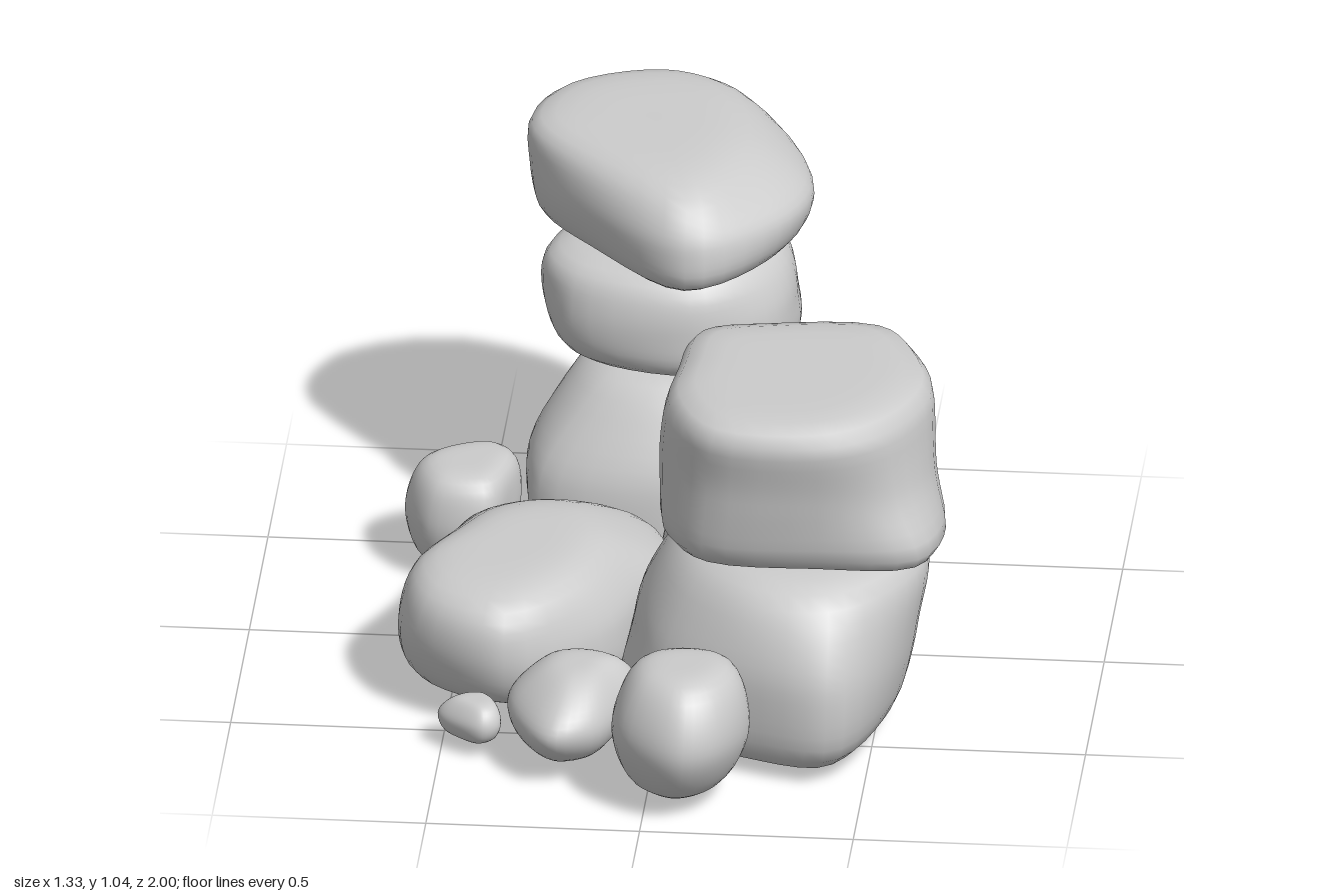
import * as THREE from 'three';

const AROUND = 40, RINGS = 28;
const material = new THREE.MeshStandardMaterial({ color: 0xcccccc });

// Closed smooth outline through [x, z] points, sampled at equal curve parameter
function outline(points) {
  const curve = new THREE.CatmullRomCurve3(
    points.map(([x, z]) => new THREE.Vector3(x, 0, z)), true, 'centripetal');
  return Array.from({ length: AROUND }, (_, i) => curve.getPoint(i / AROUND));
}

function centre(points) {
  return points.reduce((s, p) => s.add(p), new THREE.Vector3()).divideScalar(points.length);
}

// Copy of an outline scaled about its middle and shifted
function resize(points, scale, dx = 0, dz = 0) {
  const mx = points.reduce((s, p) => s + p[0], 0) / points.length;
  const mz = points.reduce((s, p) => s + p[1], 0) / points.length;
  return points.map(([x, z]) => [mx + (x - mx) * scale + dx, mz + (z - mz) * scale + dz]);
}

// Worn stone: a column of outlines from bottom to top, rounded at both ends.
// power: 2 = ellipsoid, larger = boxier. tilt: slope of the top along x and z.
function stone(name, y0, y1, power, sections, tilt = [0, 0]) {
  const rows = sections.map(outline);
  const columns = rows[0].map((_, i) =>
    new THREE.CatmullRomCurve3(rows.map(row => row[i]), false, 'catmullrom', 0.3));
  const positions = [], index = [];
  for (let j = 0; j <= RINGS; j++) {
    const t = (j / RINGS - 0.5) * Math.PI;
    const cos = j % RINGS ? Math.cos(t) : 0, sin = Math.sin(t);
    const reach = Math.pow(Math.pow(cos, power) + Math.pow(Math.abs(sin), power), -1 / power);
    const k = (sin * reach + 1) / 2;
    const ring = columns.map(column => column.getPoint(k));
    const c = centre(ring);
    ring.forEach((p, i) => {
      // gentle worn hollows on the sides
      const a = i / AROUND * Math.PI * 2;
      const bump = 1 + 0.01 * Math.sin(4 * a + 6 * k + y1 * 20) * cos;
      p.sub(c).multiplyScalar(cos * reach * bump);
      const y = y0 + (y1 - y0) * k + k * (tilt[0] * p.x + tilt[1] * p.z);
      positions.push(c.x + p.x, y, c.z + p.z);
    });
  }
  for (let j = 0; j < RINGS; j++) {
    for (let i = 0; i < AROUND; i++) {
      const n = (i + 1) % AROUND, r = j * AROUND, s = r + AROUND;
      if (j < RINGS - 1) index.push(r + i, s + i, s + n);
      if (j > 0) index.push(r + i, s + n, r + n);
    }
  }
  const geometry = new THREE.BufferGeometry();
  geometry.setAttribute('position', new THREE.Float32BufferAttribute(positions, 3));
  geometry.setIndex(index);
  geometry.computeVertexNormals();
  // each pole is a fan of coincident points: share one vertical normal
  const normals = geometry.attributes.normal;
  for (let i = 0; i < AROUND; i++) {
    normals.setXYZ(i, 0, -1, 0);
    normals.setXYZ(RINGS * AROUND + i, 0, 1, 0);
  }
  const mesh = new THREE.Mesh(geometry, material);
  mesh.name = name;
  return mesh;
}

export function createModel() {
  const group = new THREE.Group();
  group.name = 'stackedRocks';

  // Rear stack of three
  group.add(
    stone('rearStackBase', 0, 0.5, 7, [
      [[-0.36, -0.54], [-0.31, -0.78], [-0.10, -0.88], [0.10, -0.86], [0.38, -0.62], [0.28, -0.41], [0.0, -0.27], [-0.32, -0.32]],
      [[-0.39, -0.53], [-0.27, -0.75], [-0.08, -0.85], [0.10, -0.83], [0.26, -0.62], [0.20, -0.43], [-0.02, -0.28], [-0.35, -0.34]],
      [[-0.27, -0.57], [-0.23, -0.74], [-0.08, -0.85], [0.11, -0.83], [0.24, -0.62], [0.16, -0.47], [-0.01, -0.37], [-0.21, -0.42]]]),
    stone('rearStackMiddle', 0.5, 0.775, 5, [
      [[-0.33, -0.56], [-0.27, -0.77], [-0.08, -0.86], [0.17, -0.85], [0.25, -0.62], [0.17, -0.44], [0.0, -0.34], [-0.25, -0.41]],
      [[-0.365, -0.57], [-0.29, -0.78], [-0.08, -0.87], [0.16, -0.85], [0.23, -0.62], [0.17, -0.45], [0.0, -0.345], [-0.28, -0.41]],
      [[-0.36, -0.57], [-0.28, -0.78], [-0.08, -0.87], [0.14, -0.83], [0.20, -0.62], [0.14, -0.47], [0.0, -0.37], [-0.28, -0.43]]]),
    stone('rearStackTop', 0.77, 1.04, 5.5, [
      [[-0.38, -0.67], [-0.31, -0.84], [-0.10, -0.94], [0.11, -0.88], [0.23, -0.62], [0.18, -0.41], [0.0, -0.23], [-0.24, -0.45]],
      [[-0.405, -0.67], [-0.33, -0.89], [-0.11, -1.0], [0.13, -0.93], [0.27, -0.62], [0.20, -0.41], [0.0, -0.23], [-0.28, -0.46]],
      [[-0.41, -0.67], [-0.35, -0.89], [-0.11, -1.0], [0.05, -0.93], [0.13, -0.66], [0.11, -0.48], [0.0, -0.31], [-0.30, -0.50]]],
    [-0.03, 0]));

  // Front stack of two
  group.add(
    stone('frontStackBase', 0.01, 0.47, 6, [
      [[-0.13, 0.30], [-0.05, 0.07], [0.18, 0.03], [0.42, 0.05], [0.54, 0.25], [0.53, 0.50], [0.42, 0.73], [0.20, 0.69], [-0.05, 0.57]],
      [[-0.07, 0.30], [-0.02, 0.07], [0.20, 0.03], [0.47, 0.04], [0.59, 0.26], [0.56, 0.51], [0.43, 0.74], [0.20, 0.69], [0.0, 0.55]],
      [[0.03, 0.28], [0.07, 0.07], [0.25, 0.03], [0.51, 0.04], [0.63, 0.27], [0.59, 0.47], [0.43, 0.64], [0.22, 0.63], [0.08, 0.49]]]),
    stone('frontStackTop', 0.465, 0.87, 8, [
      [[0.0, 0.22], [0.03, 0.06], [0.22, 0.02], [0.47, 0.02], [0.61, 0.17], [0.68, 0.37], [0.63, 0.55], [0.38, 0.58], [0.10, 0.56], [0.0, 0.42]],
      [[0.0, 0.22], [0.03, 0.05], [0.20, 0.01], [0.49, 0.0], [0.59, 0.14], [0.63, 0.35], [0.56, 0.53], [0.38, 0.60], [0.12, 0.58], [0.0, 0.42]],
      [[0.02, 0.22], [0.05, 0.05], [0.20, 0.0], [0.49, -0.01], [0.58, 0.12], [0.63, 0.32], [0.54, 0.53], [0.38, 0.64], [0.13, 0.62], [0.02, 0.42]]],
    [0.01, -0.01]));

  // Long low boulder, its rear end sloping down
  group.add(stone('longBoulder', 0.025, 0.34, 5, [
    [[-0.61, 0.24], [-0.53, -0.05], [-0.46, -0.21], [-0.28, -0.28], [-0.11, -0.26], [-0.01, -0.04], [-0.05, 0.14], [-0.13, 0.34], [-0.36, 0.48], [-0.55, 0.40]],
    [[-0.63, 0.24], [-0.55, -0.05], [-0.49, -0.23], [-0.28, -0.29], [-0.10, -0.26], [-0.01, -0.04], [-0.06, 0.14], [-0.15, 0.35], [-0.36, 0.53], [-0.57, 0.42]],
    [[-0.60, 0.25], [-0.51, 0.06], [-0.43, -0.06], [-0.33, -0.11], [-0.22, -0.09], [-0.16, 0.02], [-0.15, 0.16], [-0.20, 0.34], [-0.36, 0.50], [-0.55, 0.42]]]));

  // Loose stones: [name, bottom, top, power, widest outline, lower resize, upper resize]
  const loose = [
    ['looseRearRight', 0.02, 0.27, 5,
      [[-0.67, -0.42], [-0.62, -0.50], [-0.48, -0.56], [-0.41, -0.49], [-0.42, -0.37], [-0.47, -0.27], [-0.61, -0.28]],
      [0.82, -0.01, 0], [0.9, 0.01, 0]],
    ['looseMiddle', 0.02, 0.315, 4,
      [[-0.05, -0.17], [-0.01, -0.22], [0.11, -0.24], [0.21, -0.23], [0.21, -0.11], [0.12, 0.01], [0.02, -0.04]],
      [0.9, 0, 0], [0.78, -0.01, 0]],
    ['looseRearLeft', 0.02, 0.27, 4.5,
      [[0.21, -0.26], [0.26, -0.39], [0.37, -0.43], [0.47, -0.40], [0.49, -0.27], [0.44, -0.15], [0.32, -0.14]],
      [0.95, 0, -0.02], [0.72, 0, 0.02]],
    ['looseTiny', 0.03, 0.13, 4,
      [[-0.51, 0.57], [-0.48, 0.53], [-0.41, 0.52], [-0.37, 0.57], [-0.36, 0.63], [-0.40, 0.66], [-0.47, 0.62]],
      [0.85, 0, 0], [0.75, 0.01, 0]],
    ['looseFrontRight', 0.03, 0.24, 3.6,
      [[-0.34, 0.56], [-0.29, 0.47], [-0.15, 0.45], [-0.04, 0.52], [-0.07, 0.64], [-0.13, 0.77], [-0.23, 0.81], [-0.33, 0.67]],
      [0.82, 0, -0.01], [0.68, 0.02, -0.02]],
    ['looseFront', 0.03, 0.345, 4.5,
      [[-0.08, 0.76], [-0.03, 0.68], [0.08, 0.65], [0.20, 0.69], [0.24, 0.80], [0.18, 0.95], [0.08, 1.0], [-0.05, 0.91]],
      [0.78, -0.01, -0.02], [0.82, 0.01, -0.01]]];
  for (const [name, y0, y1, power, shape, lower, upper] of loose) {
    group.add(stone(name, y0, y1, power, [resize(shape, ...lower), shape, resize(shape, ...upper)]));
  }

  return group;
}
